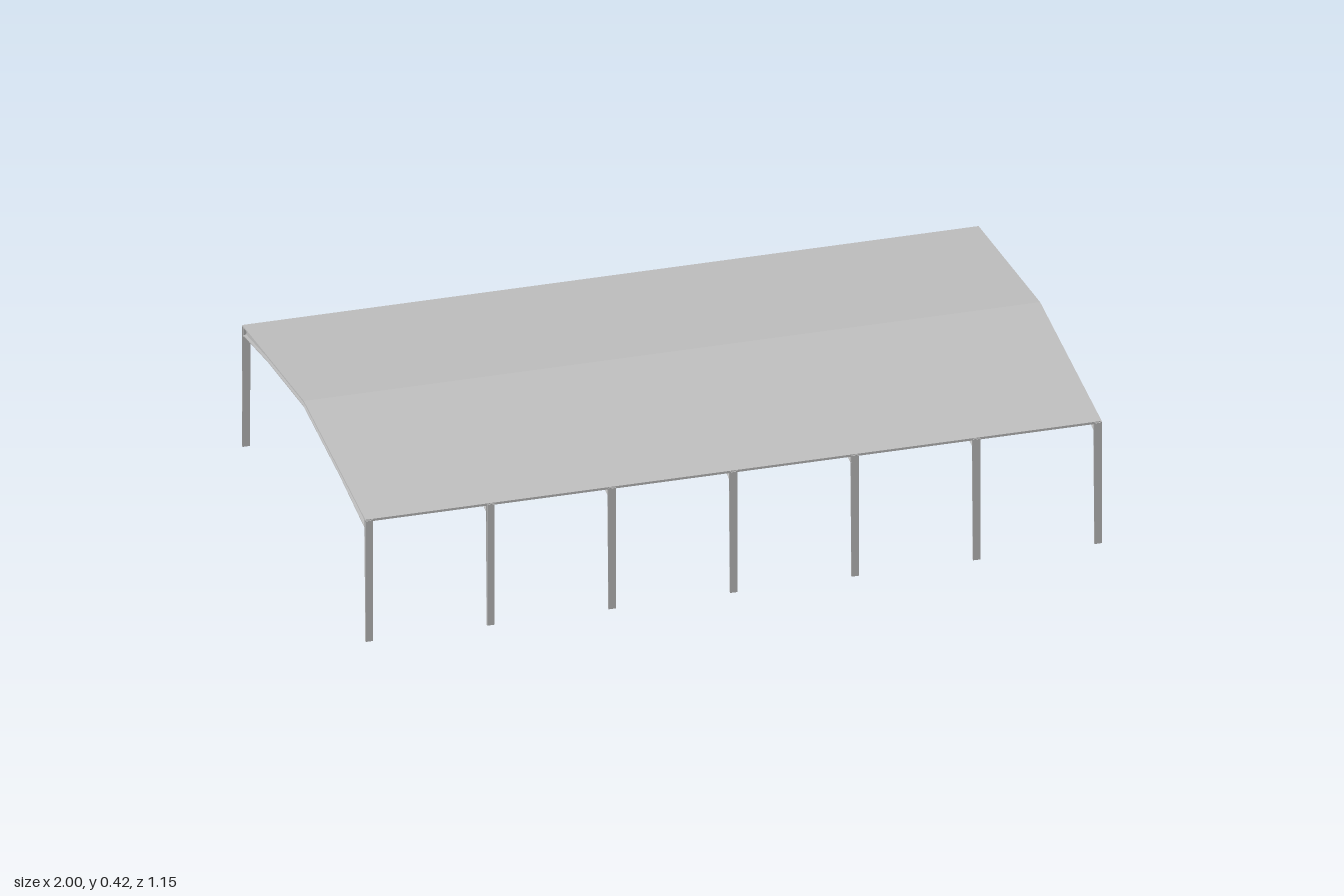
import * as THREE from 'three';

const steel = new THREE.MeshStandardMaterial({ color: 0xbfbfbf });
steel.name = 'light grey steel';

const HALF = 0.577, EAVE = 0.357, RIDGE = 0.42;
const roofY = (z) => RIDGE - (RIDGE - EAVE) * Math.abs(z) / HALF;

// Extrudes a [z, y] outline along x, centred on the given x
function alongX(points, x, length) {
  const shape = new THREE.Shape(points.map(([z, y]) => new THREE.Vector2(z, y)));
  const geo = new THREE.ExtrudeGeometry(shape, { depth: length, bevelEnabled: false });
  geo.rotateY(-Math.PI / 2);
  geo.translate(x + length / 2, 0, 0);
  return geo;
}

function add(parent, name, geo) {
  const mesh = new THREE.Mesh(geo, steel);
  mesh.name = name;
  parent.add(mesh);
  return mesh;
}

// Flat flange plate centred on the line p-q of a profile
function flange(p, q, x, width, t = 0.0025) {
  const dz = q[0] - p[0], dy = q[1] - p[1], l = Math.hypot(dz, dy);
  const nz = -dy / l * t / 2, ny = dz / l * t / 2;
  return alongX([[p[0] + nz, p[1] + ny], [q[0] + nz, q[1] + ny],
    [q[0] - nz, q[1] - ny], [p[0] - nz, p[1] - ny]], x, width);
}

// Tapered portal frame: thin web with flanges on both edges
function portalFrame(x) {
  const frame = new THREE.Group();
  frame.name = 'portalFrame';
  const top = 0.003;
  for (const s of [1, -1]) {
    const outer = [[s * 0.576, 0], [s * 0.576, EAVE - top], [0, RIDGE - top]];
    const inner = [[s * 0.573, 0], [s * 0.566, 0.331], [s * 0.335, 0.368], [0, 0.404]];
    add(frame, 'frameWeb', alongX([...outer, ...inner.slice().reverse()], x, 0.004));
    for (const line of [outer, inner]) {
      for (let i = 0; i + 1 < line.length; i++) {
        add(frame, i === 0 ? 'columnFlange' : 'rafterFlange', flange(line[i], line[i + 1], x, 0.02));
      }
    }
    // stiffener plate at the knee
    add(frame, 'kneePlate', flange(inner[1], [s * 0.564, EAVE - top], x, 0.02));
  }
  return frame;
}

export function createModel() {
  const model = new THREE.Group();
  model.name = 'openShed';

  // Roof sheet
  const e = 0.574, t = 0.003;
  add(model, 'roofSheet', alongX([
    [e, roofY(e)], [0, RIDGE], [-e, roofY(e)],
    [-e, roofY(e) - t], [0, RIDGE - t], [e, roofY(e) - t]], 0, 2));

  // Purlins under both slopes
  const purlins = new THREE.Group();
  purlins.name = 'purlins';
  model.add(purlins);
  for (const s of [1, -1]) {
    for (let i = 0; i < 15; i++) {
      const z = 0.012 + i * 0.0395, w = 0.005;
      const a = s * (z - w), b = s * (z + w);
      add(purlins, 'purlin', alongX([
        [a, roofY(a) - 0.002], [b, roofY(b) - 0.002],
        [b, roofY(b) - 0.009], [a, roofY(a) - 0.009]], 0, 1.99));
    }
  }

  // Portal frames
  for (let i = 0; i < 7; i++) model.add(portalFrame(-0.99 + i * 0.33));

  // Round ducts
  for (const [z, y] of [[0.203, 0.363], [0.067, 0.382], [-0.12, 0.371]]) {
    const geo = new THREE.CylinderGeometry(0.0135, 0.0135, 1.59, 24);
    geo.rotateZ(Math.PI / 2);
    add(model, 'roundDuct', geo).position.set(-0.175, y, z);
  }

  // Rectangular duct
  add(model, 'rectangularDuct', new THREE.BoxGeometry(1.35, 0.024, 0.06)).position.set(-0.295, 0.335, 0.435);

  // Pendant lamps in four rows
  const profile = [[0, 0], [0.0105, 0], [0.0105, 0.004], [0.0045, 0.009], [0.003, 0.022], [0, 0.022]]
    .map(([r, y]) => new THREE.Vector2(r, y));
  const shade = new THREE.LatheGeometry(profile, 12).toNonIndexed();
  shade.computeVertexNormals();
  for (const [z, y] of [[0.275, 0.334], [0.09, 0.36], [-0.09, 0.358], [-0.385, 0.322]]) {
    for (let i = 0; i < 6; i++) {
      const lamp = new THREE.Group();
      lamp.name = 'pendantLamp';
      lamp.position.set(-0.95 + i * 0.335, y, z);
      add(lamp, 'lampShade', shade);
      const h = roofY(z) - 0.002 - y - 0.02;
      add(lamp, 'lampRod', new THREE.CylinderGeometry(0.0007, 0.0007, h, 6)).position.y = 0.02 + h / 2;
      model.add(lamp);
    }
  }
  return model;
}
